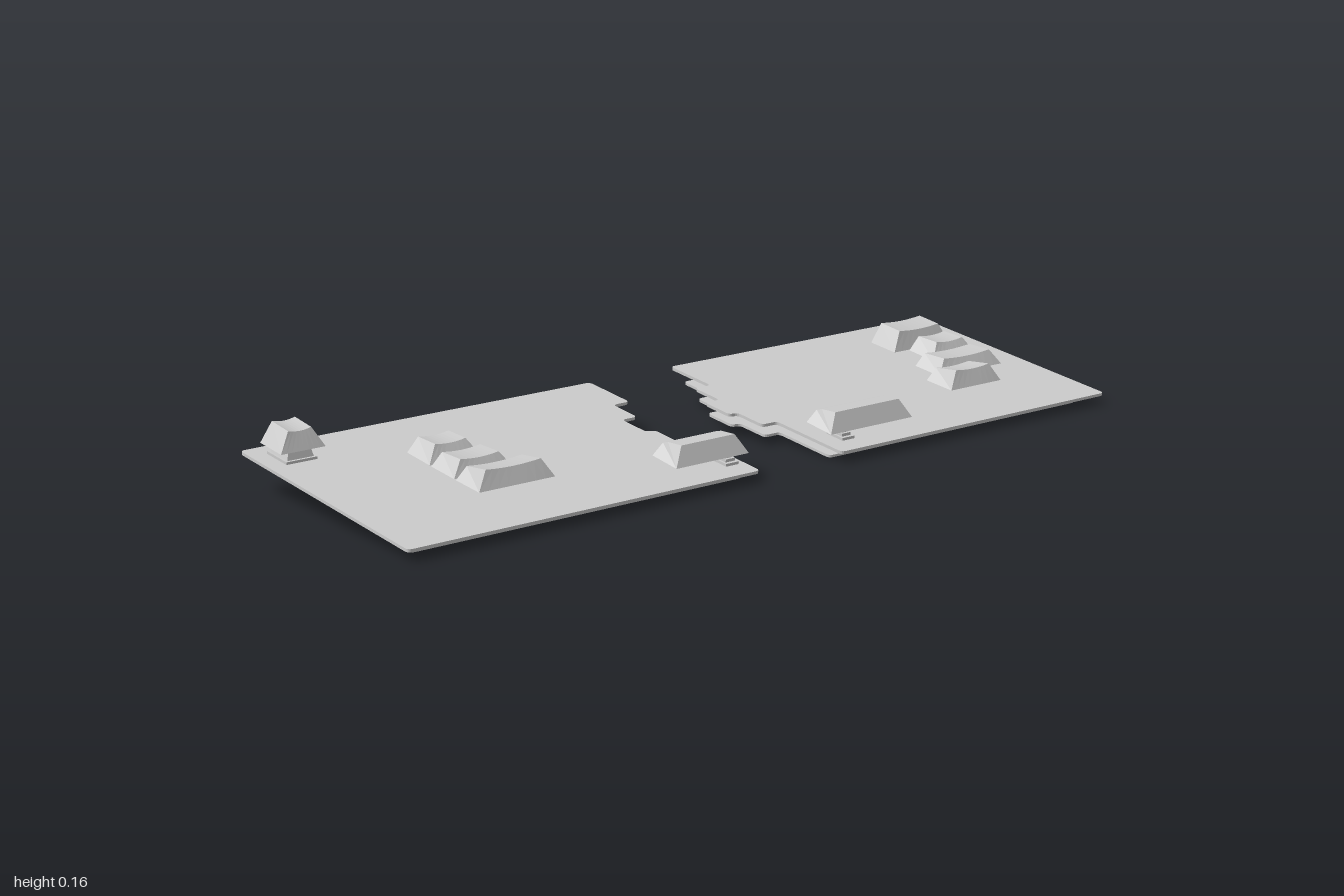
import * as THREE from 'three';
import { toCreasedNormals } from 'three/addons/utils/BufferGeometryUtils.js';

const TILT = 0.104;
const material = new THREE.MeshStandardMaterial({ color: 0xcccccc, flatShading: true });

function part(name, geometry, parent, x = 0, y = 0, z = 0) {
  const mesh = new THREE.Mesh(geometry, material);
  mesh.name = name;
  mesh.position.set(x, y, z);
  parent.add(mesh);
  return mesh;
}

// Closed outline with every corner rounded
function roundedShape(points, r) {
  const v = points.map(([x, y]) => new THREE.Vector2(x, y));
  const shape = new THREE.Shape();
  v.forEach((p, i) => {
    const prev = v[(i + v.length - 1) % v.length], next = v[(i + 1) % v.length];
    const a = p.clone().add(prev.clone().sub(p).setLength(r));
    const b = p.clone().add(next.clone().sub(p).setLength(r));
    if (i === 0) shape.moveTo(a.x, a.y); else shape.lineTo(a.x, a.y);
    shape.quadraticCurveTo(p.x, p.y, b.x, b.y);
  });
  shape.closePath();
  return shape;
}

// Flat plate whose inner edge steps along the key rows: steps = [x, zStart, zEnd]
function plateGeometry(outerX, steps, thickness) {
  const pts = [[outerX, steps[0][1]]];
  steps.forEach(([x, z0, z1]) => pts.push([x, z0], [x, z1]));
  pts.push([outerX, steps[steps.length - 1][2]]);
  return new THREE.ExtrudeGeometry(roundedShape(pts, 0.012), {
    depth: thickness, bevelEnabled: false, curveSegments: 4,
  }).translate(0, 0, -thickness / 2).rotateX(Math.PI / 2);
}

// Keycap: side profile [z, y] swept across x, tapering to a dished top
function keycapGeometry(x0, x1, profile, inset, dish) {
  const cols = 8, K = profile.length, pos = [], index = [];
  for (let i = 0; i <= cols; i++) {
    const u = i / cols;
    profile.forEach(([z, y], k) => {
      const top = k > 0 && k < K - 1;
      const e = top ? inset : 0;
      const dip = top ? dish * (1 - (2 * u - 1) ** 2) : 0;
      pos.push(THREE.MathUtils.lerp(x0 + e, x1 - e, u), y - dip, z);
    });
  }
  for (let i = 0; i < cols; i++) {
    for (let k = 0; k < K; k++) {
      const a = i * K + k, d = i * K + (k + 1) % K;
      index.push(a, a + K, d + K, a, d + K, d);
    }
  }
  const end = cols * K;
  for (let k = 1; k < K - 1; k++) index.push(0, k, k + 1, end, end + k + 1, end + k);
  const g = new THREE.BufferGeometry();
  g.setAttribute('position', new THREE.Float32BufferAttribute(pos, 3));
  g.setIndex(index);
  return toCreasedNormals(g, 0.4);
}

// Side profiles of the rows, front bottom to back bottom
const ROWS = {
  thumb: [[0.287, 0.061], [0.270, 0.105], [0.224, 0.103], [0.206, 0.098], [0.203, 0.073]],
  lower: [[0.197, 0.071], [0.183, 0.113], [0.114, 0.106], [0.112, 0.079]],
  home: [[0.106, 0.080], [0.091, 0.116], [0.023, 0.117], [0.021, 0.089]],
  upper: [[0.015, 0.090], [-0.003, 0.129], [-0.067, 0.132], [-0.070, 0.100]],
  number: [[-0.076, 0.100], [-0.089, 0.147], [-0.155, 0.155], [-0.161, 0.109]],
  corner: [[-0.190, 0.111], [-0.203, 0.156], [-0.268, 0.165], [-0.274, 0.120]],
};

const HALVES = [
  {
    name: 'rightHalf', outer: -1, outerBottom: -0.96, side: -1,
    inner: [-0.055, -0.102, -0.145, -0.122, -0.075],
    ports: [-0.645, -0.245], stem: -0.11,
    keys: [['thumb', -0.28, -0.077], ['lower', -0.735, -0.538], ['home', -0.735, -0.582],
      ['upper', -0.735, -0.602], ['corner', -0.976, -0.864]],
  },
  {
    name: 'leftHalf', outer: 1, outerBottom: 0.955, side: 1,
    inner: [0.187, 0.14, 0.097, 0.12, 0.163],
    ports: [0.375, 0.665], stem: 0.23,
    keys: [['thumb', 0.163, 0.409], ['lower', 0.618, 0.778], ['home', 0.666, 0.868],
      ['upper', 0.73, 0.868], ['number', 0.687, 0.868]],
  },
];

function tiltedGroup(name, parent, x, y, z) {
  const g = new THREE.Group();
  g.name = name;
  g.position.set(x, y, z);
  g.rotation.x = TILT;
  parent.add(g);
  return g;
}

// Four-sided tapered block
function taperedBlock(bottom, top, height) {
  return new THREE.CylinderGeometry(top * Math.SQRT1_2, bottom * Math.SQRT1_2, height, 4)
    .rotateY(Math.PI / 4);
}

function buildHalf(h) {
  const half = new THREE.Group();
  half.name = h.name;
  const breaks = [-0.17, -0.08, 0.01, 0.10];
  const steps = (front, back, inset) => h.inner.map((x, i) => [
    x + h.side * inset,
    i === 0 ? back : breaks[i - 1],
    i === 4 ? front : breaks[i],
  ]);

  // Upper and lower plates
  const upper = tiltedGroup('upperDeck', half, 0, 0.0595, 0);
  part('topPlate', plateGeometry(h.outer, steps(0.325, -0.321, 0), 0.007), upper);
  const lower = tiltedGroup('lowerDeck', half, 0, 0.0336, 0);
  part('bottomPlate', plateGeometry(h.outerBottom, steps(0.274, -0.281, 0.008), 0.006), lower);

  // Cable ports on small tongues under the back edge
  const w = 0.022, t = 0.008;
  const shell = new THREE.ExtrudeGeometry(
    roundedShape([[-w, -t], [w, -t], [w, t], [-w, t]], 0.004),
    { depth: 0.035, bevelEnabled: false, curveSegments: 3 });
  for (const x of h.ports) {
    part('portTongue', new THREE.BoxGeometry(0.05, 0.006, 0.042), lower, x, 0, -0.297);
    part('port', shell, lower, x, -0.010, -0.325);
  }

  // Stem under the thumb key
  const stem = tiltedGroup('thumbStem', half, h.stem, 0.037, 0.243);
  part('stemFlange', new THREE.BoxGeometry(0.036, 0.008, 0.054), stem, 0, 0.003, 0);
  part('stemCollar', new THREE.BoxGeometry(0.026, 0.008, 0.038), stem, 0, 0.010, 0);
  part('stemPost', new THREE.BoxGeometry(0.018, 0.026, 0.026), stem, 0, 0.023, 0);

  // Keycaps
  for (const [row, x0, x1] of h.keys) {
    const dish = row === 'thumb' ? 0 : 0.004;
    part(row + 'Key', keycapGeometry(x0, x1, ROWS[row], 0.027, dish), half);
  }
  return half;
}

export function createModel() {
  const model = new THREE.Group();
  model.name = 'splitKeyboard';
  for (const h of HALVES) model.add(buildHalf(h));

  // Switch below the corner key
  const sw = tiltedGroup('cornerSwitch', model, -0.92, 0.085, -0.237);
  part('switchBase', taperedBlock(0.066, 0.068, 0.024), sw, 0, -0.012, 0);
  part('switchFlange', new THREE.BoxGeometry(0.078, 0.006, 0.078), sw, 0, 0.006, 0);
  part('switchHousing', taperedBlock(0.068, 0.052, 0.028), sw, 0, 0.021, 0);
  part('switchStem', new THREE.BoxGeometry(0.03, 0.012, 0.022), sw, 0, 0.036, 0);
  return model;
}
